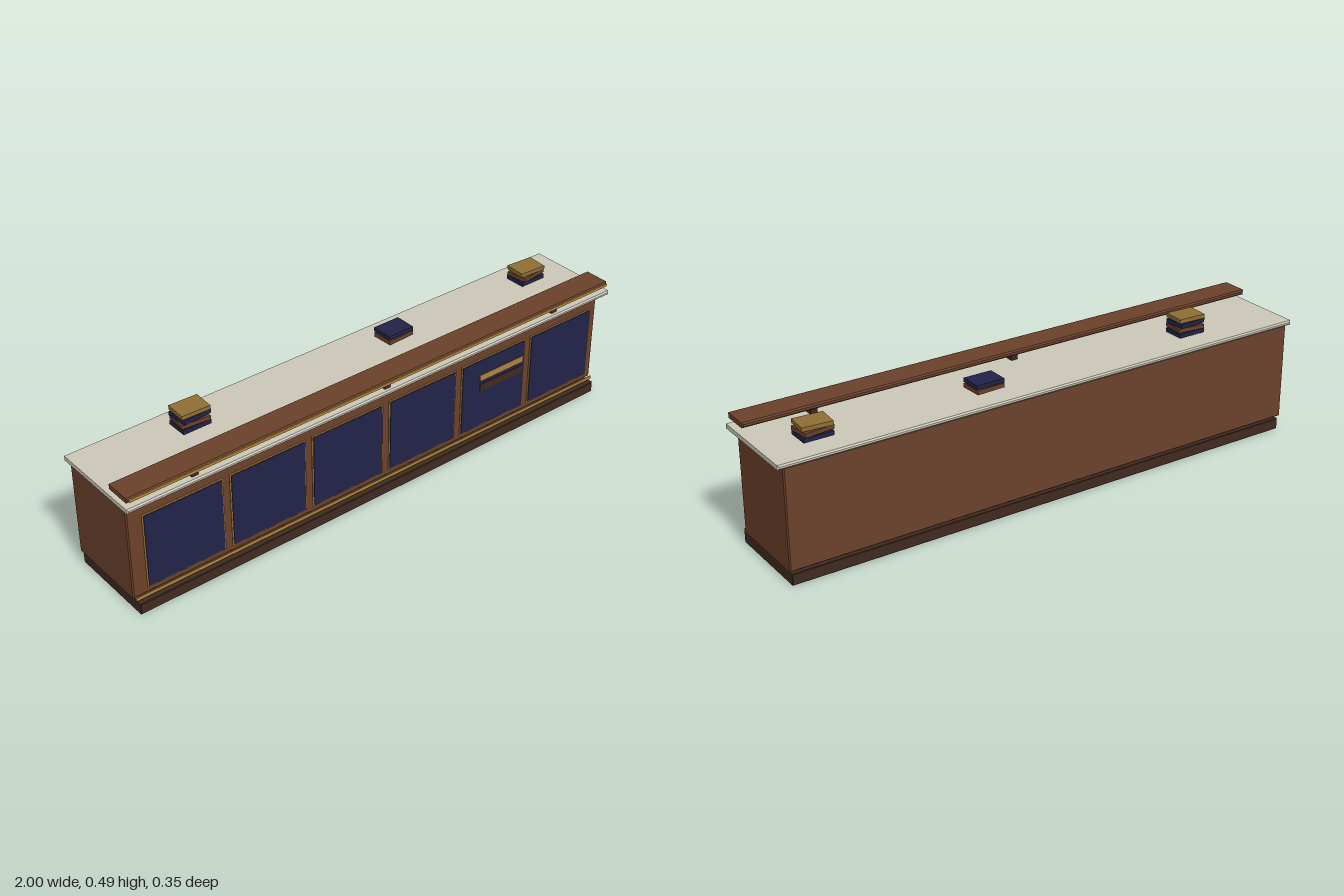
import * as THREE from 'three';

const mat = (name, color) => {
  const m = new THREE.MeshStandardMaterial({ color });
  m.name = name;
  return m;
};

export function createModel() {
  const wood = mat('wood', 0x6b412b);
  const darkWood = mat('dark wood', 0x402a20);
  const stone = mat('pale stone', 0xcbc7b8);
  const navy = mat('navy', 0x222248);
  const brass = mat('brass', 0xb08439);
  const ochre = mat('ochre', 0x8f6e35);

  const root = new THREE.Group();
  root.name = 'counter';

  // Box given by its [min, max] ranges; an optional chamfer cuts every edge
  function block(name, material, [x0, x1], [y0, y1], [z0, z1], chamfer = 0, parent = root) {
    const w = x1 - x0, h = y1 - y0, d = z1 - z0;
    let geo;
    if (chamfer) {
      const a = w / 2 - chamfer, b = h / 2 - chamfer;
      const shape = new THREE.Shape([[-a, -b], [a, -b], [a, b], [-a, b]].map(p => new THREE.Vector2(...p)));
      geo = new THREE.ExtrudeGeometry(shape, {
        depth: d - 2 * chamfer, bevelEnabled: true, bevelSegments: 1,
        bevelSize: chamfer, bevelThickness: chamfer,
      });
      geo.translate(0, 0, -d / 2 + chamfer);
    } else {
      geo = new THREE.BoxGeometry(w, h, d);
    }
    const mesh = new THREE.Mesh(geo, material);
    mesh.name = name;
    mesh.position.set((x0 + x1) / 2, (y0 + y1) / 2, (z0 + z1) / 2);
    parent.add(mesh);
    return mesh;
  }

  // Plinth, cabinet body and worktop
  block('plinth', darkWood, [-0.977, 0.972], [0, 0.04], [-0.165, 0.165], 0.002);
  block('cabinetBody', wood, [-0.985, 0.98], [0.05, 0.403], [-0.168, 0.139], 0.004);
  block('worktop', stone, [-1, 1], [0.402, 0.418], [-0.177, 0.178], 0.005);
  block('lowerTrim', brass, [-0.982, 0.977], [0.045, 0.057], [0.146, 0.15]);

  // Six framed front panels
  for (let i = 0; i < 6; i++) {
    const x = -0.796 + i * 0.317;
    const panel = new THREE.Group();
    panel.name = 'frontPanel' + (i + 1);
    root.add(panel);
    block('panelFrame', brass, [x - 0.146, x + 0.146], [0.085, 0.36], [0.153, 0.157], 0, panel);
    block('panelFace', navy, [x - 0.141, x + 0.141], [0.09, 0.355], [0.157, 0.1595], 0, panel);
  }

  // Name plate and slot on the fifth panel
  block('plate', brass, [0.41, 0.607], [0.274, 0.296], [0.1585, 0.161]);
  block('slot', darkWood, [0.41, 0.607], [0.231, 0.26], [0.1585, 0.162]);

  // Raised front shelf on short posts
  for (const x of [-0.75, -0.003, 0.744]) {
    block('shelfPost', darkWood, [x - 0.012, x + 0.012], [0.417, 0.438], [0.083, 0.162]);
  }
  block('raisedShelf', wood, [-0.996, 0.991], [0.437, 0.455], [0.073, 0.174], 0.005);
  block('shelfTrim', brass, [-0.99, 0.986], [0.441, 0.451], [0.172, 0.1775]);

  // Stacks of slightly turned books
  const stacks = [
    [-0.612, [navy, wood, navy, ochre], [0, -0.1, 0.07, -0.04]],
    [0.212, [wood, navy], [0.05, 0]],
    [0.824, [navy, wood, ochre], [0, 0.12, -0.07]],
  ];
  for (const [x, colours, turns] of stacks) {
    const stack = new THREE.Group();
    stack.name = 'bookStack';
    root.add(stack);
    colours.forEach((colour, i) => {
      const y = 0.427 + i * 0.0177;
      const book = block('book', colour, [x - 0.052, x + 0.052], [y, y + 0.0145], [-0.102, -0.024], 0, stack);
      book.rotation.y = turns[i];
    });
  }
  return root;
}
